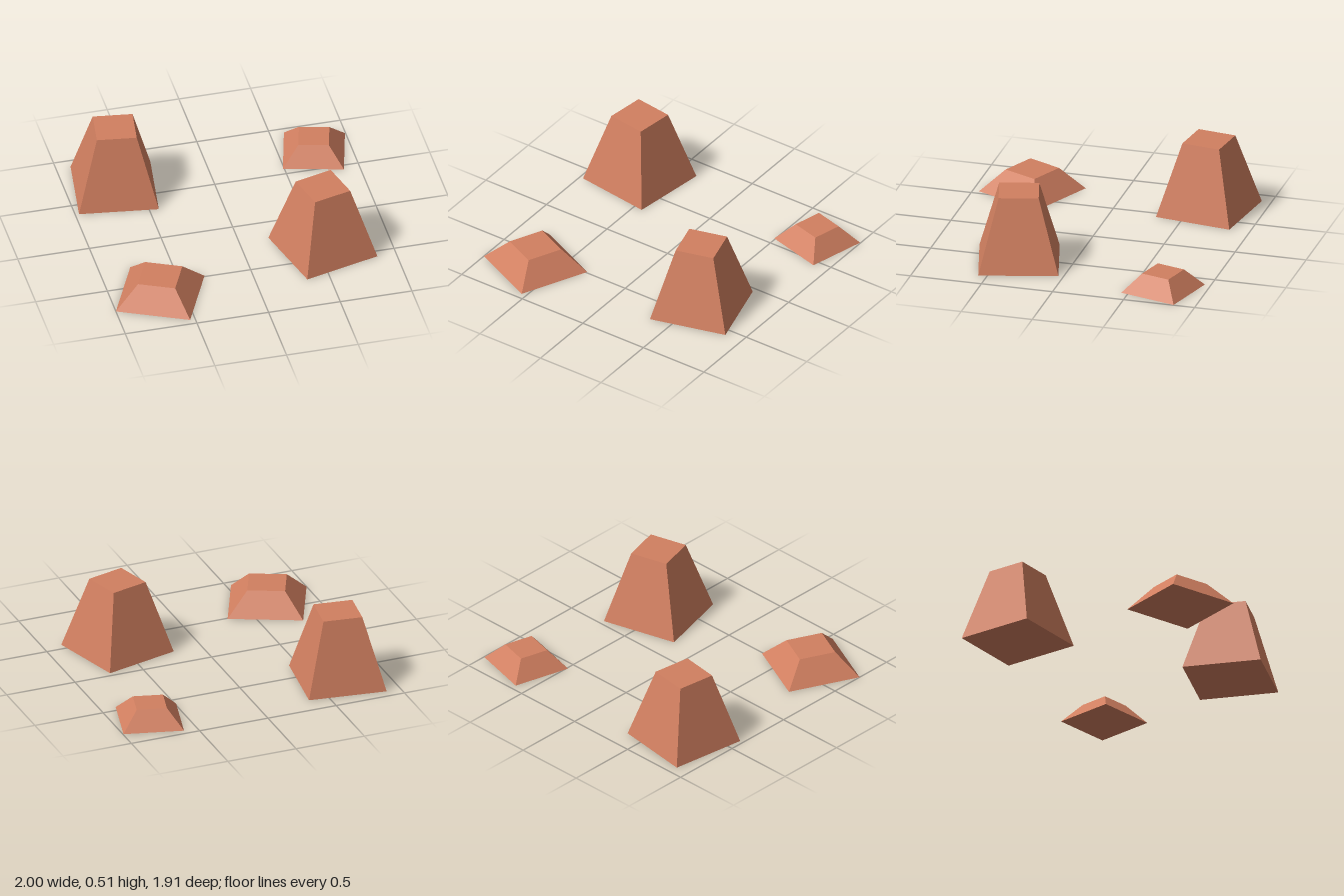
import * as THREE from 'three';

const terracotta = new THREE.MeshStandardMaterial({ color: 0xd17f60, flatShading: true });
terracotta.name = 'terracotta';

// Square block tapering to half its base width, standing on the ground
function taperedBlock(name, side, height, x, z, degrees) {
  const radius = side / Math.SQRT2;
  const geometry = new THREE.CylinderGeometry(radius / 2, radius, height, 4, 1, false, Math.PI / 4);
  geometry.translate(0, height / 2, 0);
  const mesh = new THREE.Mesh(geometry, terracotta);
  mesh.name = name;
  mesh.position.set(x, 0, z);
  mesh.rotation.y = THREE.MathUtils.degToRad(degrees);
  return mesh;
}

export function createModel() {
  const model = new THREE.Group();
  model.name = 'taperedBlocks';
  model.add(
    // Two tall blocks
    taperedBlock('tallBlockBack', 0.543, 0.512, -0.667, -0.625, -8),
    taperedBlock('tallBlockFront', 0.543, 0.512, 0.537, 0.368, 15),
    // Two low mounds
    taperedBlock('lowMoundFront', 0.512, 0.155, -0.66, 0.615, -25),
    taperedBlock('lowMoundBack', 0.413, 0.126, 0.743, -0.705, -15),
  );
  return model;
}
